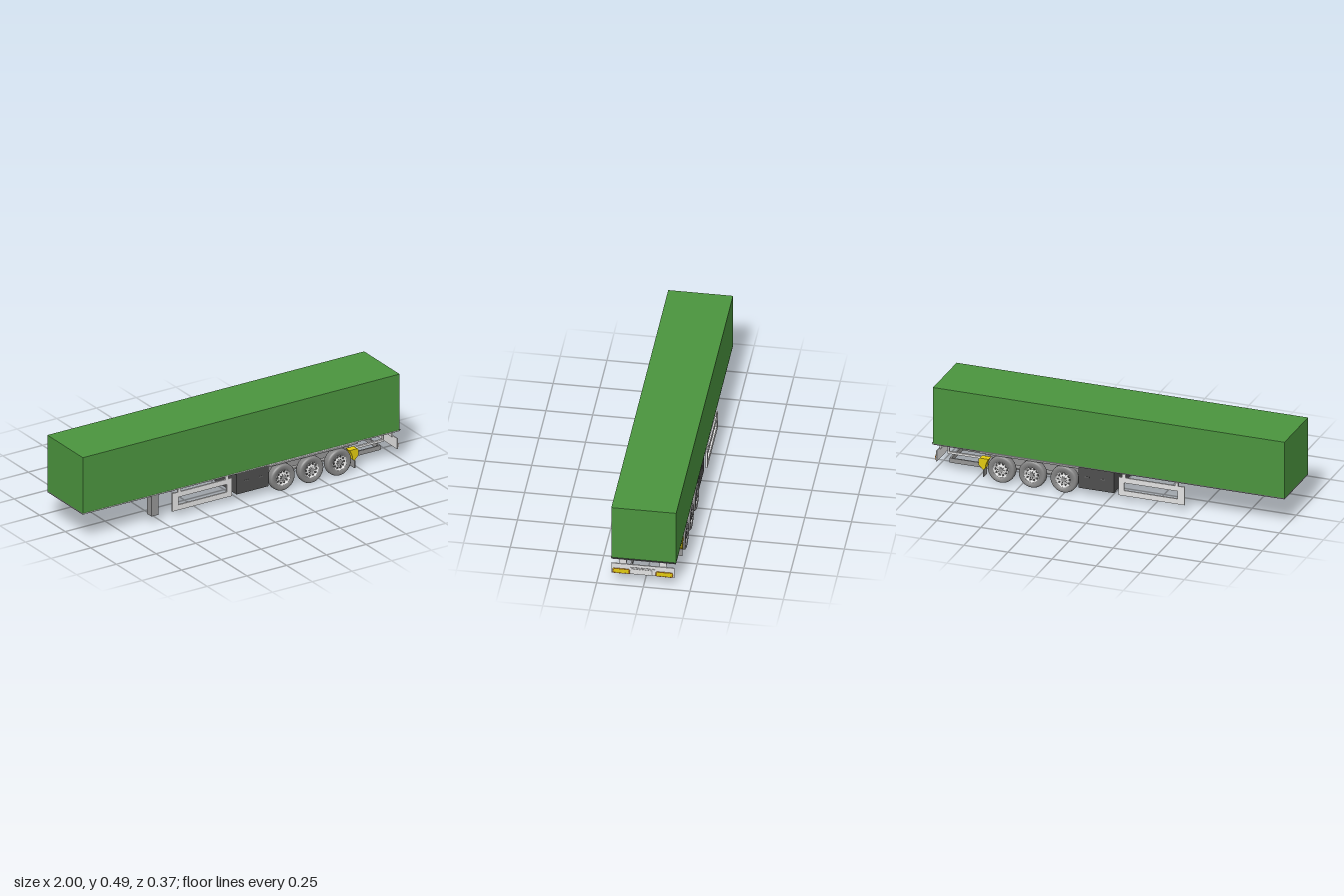
import * as THREE from 'three';

const mat = (name, color, side = THREE.FrontSide) => {
  const m = new THREE.MeshStandardMaterial({ color, side });
  m.name = name;
  return m;
};

export function createModel() {
  const green = mat('green cover', 0x4b943e);
  const light = mat('light grey metal', 0xe2e2e2, THREE.DoubleSide);
  const grey = mat('mid grey', 0x959595, THREE.DoubleSide);
  const rubber = mat('tyre grey', 0x868686);
  const dark = mat('dark grey', 0x4e4e4e);
  const under = mat('underside', 0x686868);
  const yellow = mat('yellow', 0xe2ca10, THREE.DoubleSide);
  const orange = mat('orange', 0xf5822a);

  const model = new THREE.Group();
  model.name = 'boxTrailer';
  const add = (name, geo, m, parent = model) => {
    const mesh = new THREE.Mesh(geo, m);
    mesh.name = name;
    parent.add(mesh);
    return mesh;
  };
  // box given by its minimum and maximum on each axis
  const box = (name, m, x0, x1, y0, y1, z0, z1, parent = model) => {
    const mesh = add(name, new THREE.BoxGeometry(x1 - x0, y1 - y0, z1 - z0), m, parent);
    mesh.position.set((x0 + x1) / 2, (y0 + y1) / 2, (z0 + z1) / 2);
    return mesh;
  };
  // the same box on both sides of the trailer
  const pair = (name, m, x0, x1, y0, y1, z0, z1) => {
    box(name + 'Left', m, x0, x1, y0, y1, z0, z1);
    box(name + 'Right', m, x0, x1, y0, y1, -z1, -z0);
  };
  const rect = (s, x0, x1, y0, y1) => {
    s.moveTo(x0, y0).lineTo(x1, y0).lineTo(x1, y1).lineTo(x0, y1).closePath();
    return s;
  };

  // cargo body and floor
  box('cargoBox', green, -1, 0.993, 0.171, 0.495, -0.175, 0.172);
  box('floor', under, -1, 0.992, 0.164, 0.171, -0.174, 0.171);
  pair('floorEdge', light, -1, 0.993, 0.167, 0.171, 0.171, 0.174);
  box('rearSill', light, 0.992, 0.995, 0.164, 0.17, -0.174, 0.171);
  box('rearTrim', dark, 0.993, 1, 0.17, 0.172, -0.174, 0.171);
  pair('longBeam', under, -0.98, 0.2, 0.158, 0.164, 0.07, 0.09);

  // chassis over the axles, tapering at the rear
  const chassis = new THREE.Shape([
    [0.17, 0.08], [0.64, 0.08], [0.735, 0.128], [0.735, 0.164], [0.17, 0.164],
  ].map(p => new THREE.Vector2(...p)));
  add('chassis', new THREE.ExtrudeGeometry(chassis, { depth: 0.18, bevelEnabled: false }), grey)
    .position.z = -0.09;
  pair('wheelShelf', grey, 0.17, 0.735, 0.153, 0.164, 0.09, 0.168);

  // support leg
  const leg = new THREE.Group();
  leg.name = 'supportLeg';
  model.add(leg);
  box('legBack', grey, -0.565, -0.52, 0.045, 0.164, 0.125, 0.131, leg);
  box('legFront', grey, -0.565, -0.52, 0.045, 0.164, 0.16, 0.166, leg);
  box('legWall', grey, -0.565, -0.555, 0.045, 0.164, 0.131, 0.16, leg);
  box('legInner', dark, -0.55, -0.53, 0.06, 0.164, 0.135, 0.156, leg);

  // side guards: open frame hung on two posts
  for (const [side, z] of [['Left', 0.16], ['Right', -0.181]]) {
    const frame = rect(new THREE.Shape(), -0.435, -0.06, 0.043, 0.147);
    frame.holes.push(rect(new THREE.Path(), -0.395, -0.092, 0.073, 0.118));
    add('sideGuard' + side, new THREE.ExtrudeGeometry(frame, { depth: 0.009, bevelEnabled: false }), light)
      .position.z = z;
    for (const x of [-0.4, -0.1])
      box('guardPost' + side, light, x, x + 0.018, 0.14, 0.166, z, z + 0.009);
  }

  // full-width storage box with door handles
  box('storageBox', dark, -0.03, 0.17, 0.043, 0.164, -0.167, 0.167);
  for (const x of [0.02, 0.11]) pair('boxHandle', under, x, x + 0.025, 0.108, 0.114, 0.167, 0.169);

  // wheels
  const ring = (r, n, make) => {
    for (let i = 0; i < n; i++) {
      const a = (i / n) * Math.PI * 2;
      make(r * Math.cos(a), r * Math.sin(a));
    }
  };
  const lathe = points =>
    new THREE.LatheGeometry(points.map(p => new THREE.Vector2(...p)), 36).rotateX(Math.PI / 2);
  const disc = (r, h, n) => new THREE.CylinderGeometry(r, r, h, n).rotateX(Math.PI / 2);
  const tyreGeo = lathe([
    [0.045, -0.022], [0.066, -0.024], [0.073, -0.02], [0.076, -0.012],
    [0.076, 0.012], [0.073, 0.02], [0.066, 0.024], [0.045, 0.022], [0.043, 0.012],
  ]);
  const rimGeo = lathe([
    [0, 0.02], [0.022, 0.02], [0.024, 0.016], [0.038, 0.012], [0.041, 0.023], [0.045, 0.022],
  ]);
  const makeWheel = () => {
    const w = new THREE.Group();
    w.name = 'wheel';
    add('tyre', tyreGeo, rubber, w);
    add('rim', rimGeo, light, w);
    add('innerDisc', disc(0.045, 0.004, 24), grey, w).position.z = -0.018;
    add('hub', disc(0.013, 0.01, 16), grey, w).position.z = 0.018;
    ring(0.032, 10, (x, y) => add('rimHole', disc(0.006, 0.004, 8), dark, w).position.set(x, y, 0.0145));
    ring(0.018, 10, (x, y) => add('wheelNut', disc(0.0022, 0.004, 6), dark, w).position.set(x, y, 0.0205));
    return w;
  };
  for (const x of [0.255, 0.435, 0.61]) {
    const left = makeWheel();
    left.position.set(x, 0.077, 0.16);
    const right = makeWheel();
    right.position.set(x, 0.077, -0.151);
    right.rotation.y = Math.PI;
    model.add(left, right);
    add('axle', disc(0.013, 0.29, 14), grey).position.set(x, 0.077, 0.005);
  }

  // low rear mudguards with hanging flaps
  for (const [side, z, flap] of [['Left', 0.13, 0.13], ['Right', -0.167, -0.165]]) {
    const s = new THREE.Shape();
    s.absarc(0.61, 0.068, 0.09, 0, 0.68, false);
    s.lineTo(0.73, 0.125).lineTo(0.737, 0.118).lineTo(0.737, 0.085).lineTo(0.712, 0.06).closePath();
    add('mudguard' + side, new THREE.ExtrudeGeometry(s, { depth: 0.038, bevelEnabled: false, curveSegments: 10 }), yellow)
      .position.z = z;
    box('mudFlap' + side, grey, 0.708, 0.714, 0.018, 0.062, flap, flap + 0.042);
  }

  // pallet carrier: open ring of low panels with a belly plate ahead of it
  for (const z of [-0.095, 0.077]) box('carrierSide', grey, 0.69, 0.93, 0.038, 0.064, z, z + 0.008);
  for (const x of [0.69, 0.922]) box('carrierEnd', grey, x, x + 0.008, 0.038, 0.064, -0.095, 0.085);
  box('bellyPlate', grey, 0.17, 0.7, 0.056, 0.064, -0.095, 0.085);
  box('carrierBack', grey, 0.69, 0.735, 0.064, 0.13, -0.08, 0.08);

  // light strut frames in front of the bumper
  pair('strutBar', light, 0.735, 0.934, 0.096, 0.108, 0.1, 0.112);
  pair('strutPost', light, 0.926, 0.934, 0.096, 0.164, 0.1, 0.112);

  // rear bumper
  const bumper = new THREE.Group();
  bumper.name = 'rearBumper';
  model.add(bumper);
  box('bumperPanel', light, 0.975, 0.981, 0.065, 0.126, -0.163, 0.174, bumper);
  box('bumperRail', light, 0.966, 0.978, 0.156, 0.164, -0.12, 0.131, bumper);
  for (const z of [0.094, -0.12])
    box('bumperPost', light, 0.969, 0.977, 0.12, 0.164, z, z + 0.037, bumper);
  box('plateBorder', grey, 0.981, 0.982, 0.067, 0.109, -0.06, 0.071, bumper);
  box('plateHolder', light, 0.981, 0.984, 0.068, 0.108, -0.059, 0.07, bumper);
  box('plateOutline', grey, 0.984, 0.985, 0.073, 0.102, -0.044, 0.055, bumper);
  box('plate', light, 0.985, 0.986, 0.074, 0.101, -0.043, 0.054, bumper);
  for (const z of [0.058, -0.055]) {
    box('lampOutline', grey, 0.984, 0.985, 0.07, 0.104, z - 0.001, z + 0.007, bumper);
    box('lamp', light, 0.985, 0.986, 0.071, 0.103, z, z + 0.006, bumper);
  }

  // yellow reflector boards with orange dashes along the edges
  for (const z of [0.078, -0.153]) {
    box('reflector', yellow, 0.981, 0.986, 0.069, 0.096, z, z + 0.085, bumper);
    for (let i = 0; i < 6; i++)
      for (const y of [0.068, 0.094])
        box('dash', orange, 0.983, 0.988, y, y + 0.003, z + 0.004 + i * 0.0138, z + 0.012 + i * 0.0138, bumper);
    for (const y of [0.071, 0.079, 0.087])
      for (const e of [z - 0.004, z + 0.083])
        box('sideDash', orange, 0.981, 0.988, y, y + 0.003, e, e + 0.006, bumper);
  }
  return model;
}
